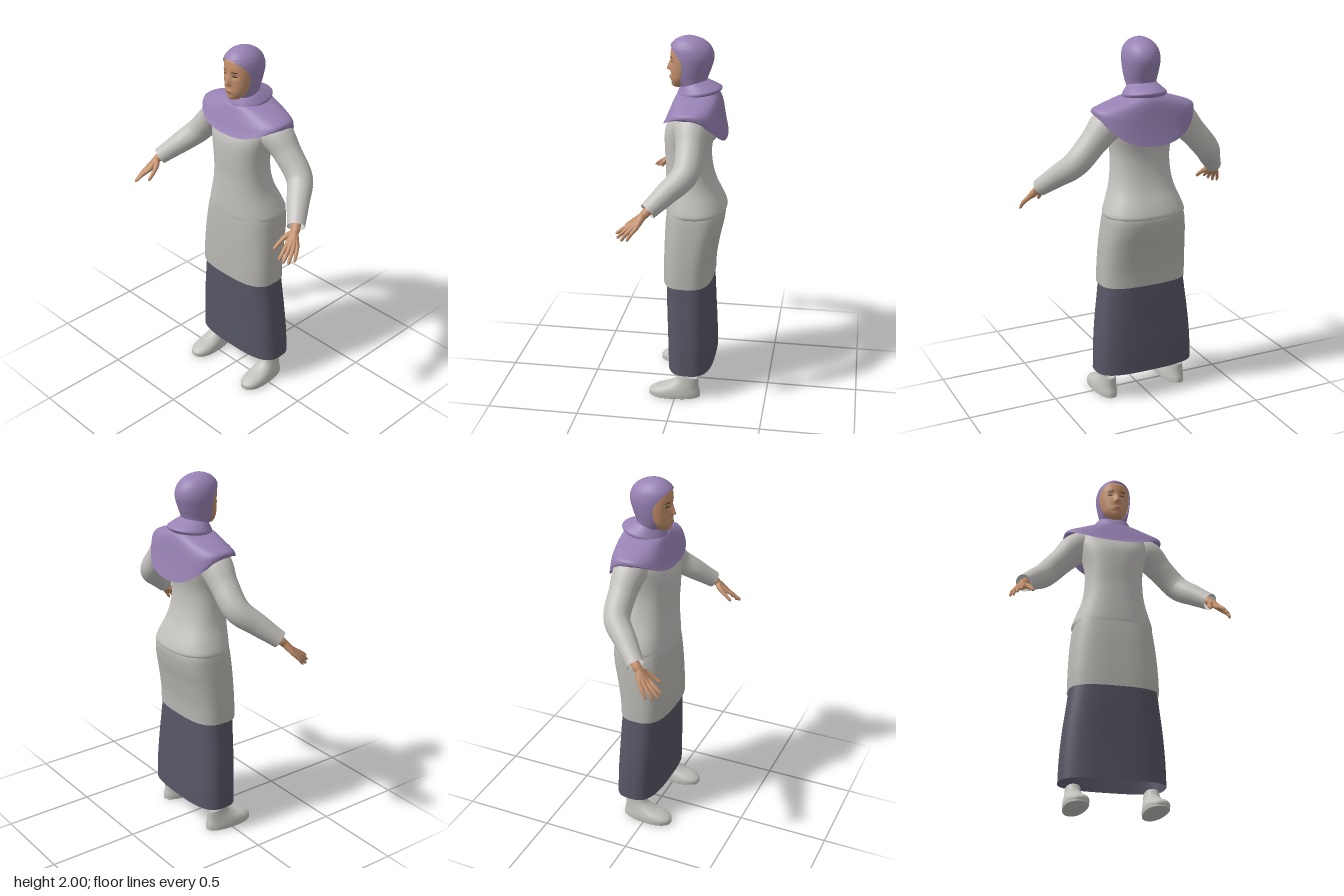
import * as THREE from 'three';

const mat = (name, color, side = THREE.DoubleSide) => {
  const m = new THREE.MeshStandardMaterial({ color, side });
  m.name = name;
  return m;
};

// Smooth value along a table of rows (Catmull-Rom on each column), t from 0 to 1
function sample(rows, t) {
  const n = rows.length - 1, i = Math.min(n - 1, Math.floor(t * n)), f = t * n - i;
  const at = k => rows[Math.max(0, Math.min(n, k))];
  const [a, b, c, d] = [at(i - 1), at(i), at(i + 1), at(i + 2)];
  return b.map((q, k) => q + 0.5 * f * (c[k] - a[k] +
    f * (2 * a[k] - 5 * q + 4 * c[k] - d[k] + f * (3 * (q - c[k]) + d[k] - a[k]))));
}

// Grid surface from fn(u, v) -> [x, y, z], optionally closed around u
function surface(fn, nu, nv, closed = true) {
  const pos = [], index = [], cols = closed ? nu : nu + 1;
  for (let j = 0; j <= nv; j++)
    for (let i = 0; i < cols; i++) pos.push(...fn(i / nu, j / nv));
  for (let j = 0; j < nv; j++)
    for (let i = 0; i < nu; i++) {
      const a = j * cols + i, b = j * cols + (i + 1) % cols;
      index.push(a, b, a + cols, b, b + cols, a + cols);
    }
  const g = new THREE.BufferGeometry();
  g.setAttribute('position', new THREE.Float32BufferAttribute(pos, 3));
  g.setIndex(index);
  g.computeVertexNormals();
  return g;
}

// Point on a super-ellipse ring; row = [y, halfWidth, zFront, zBack, tilt, sideLift]
function ringPoint([y, rx, zf, zb, tilt = 0, lift = 0], a, n) {
  const pw = q => Math.sign(q) * Math.abs(q) ** (2 / n);
  const s = Math.sin(a), c = Math.cos(a), zc = (zf + zb) / 2;
  return [rx * pw(s), y + tilt * c + lift * s * s, zc + (zf - zc) * pw(c)];
}

const loft = (rows, n = 2, nu = 64, nv = 36) =>
  surface((u, v) => ringPoint(sample(rows, v), u * Math.PI * 2, n), nu, nv);

// Tapered tube; points = [x, y, z, radius]
function limb(points, nu = 12, nv = 16) {
  const curve = new THREE.CatmullRomCurve3(points.map(p => new THREE.Vector3(...p)));
  const { normals, binormals } = curve.computeFrenetFrames(nv);
  return surface((u, v) => {
    const k = Math.round(v * nv), a = u * Math.PI * 2;
    const r = Math.max(0.0005, sample(points.map(p => [p[3]]), curve.getUtoTmapping(v))[0]);
    return curve.getPointAt(v).addScaledVector(normals[k], r * Math.cos(a))
      .addScaledVector(binormals[k], r * Math.sin(a)).toArray();
  }, nu, nv);
}

// Face profile and relief
const faceRows = [
  [1.724, 0.004, 0.022, 0.014], [1.73, 0.026, 0.042, -0.01], [1.745, 0.044, 0.051, -0.04],
  [1.77, 0.062, 0.056, -0.06], [1.8, 0.073, 0.057, -0.08], [1.84, 0.082, 0.057, -0.1],
  [1.88, 0.085, 0.058, -0.11], [1.92, 0.082, 0.056, -0.11], [1.95, 0.07, 0.045, -0.1],
  [1.98, 0.03, 0, -0.07], [1.985, 0.002, -0.03, -0.034],
];
const bell = (d, w) => Math.exp(-((d / w) ** 2));
function relief(x, y) {
  const nose = y < 1.822 ? bell(y - 1.822, 0.008) : Math.max(0, 1 - (y - 1.822) / 0.056);
  return 0.024 * nose * bell(x, 0.013)
    - 0.008 * bell(Math.abs(x) - 0.033, 0.018) * bell(y - 1.866, 0.014)
    + 0.007 * bell(x, 0.022) * bell(y - 1.778, 0.01)
    + 0.003 * bell(x, 0.02) * bell(y - 1.742, 0.012);
}
function faceZ(x, y) {
  let lo = 0, hi = 1;
  for (let i = 0; i < 20; i++) {
    const m = (lo + hi) / 2;
    if (sample(faceRows, m)[0] < y) lo = m; else hi = m;
  }
  const [, rx, zf, zb] = sample(faceRows, lo), zc = (zf + zb) / 2;
  return zc + (zf - zc) * Math.sqrt(Math.max(0, 1 - (x / rx) ** 2)) + relief(x, y);
}

// Thin oval that follows the face
function facePlate(cx, cy, w, h, tilt = 0) {
  const g = new THREE.CircleGeometry(1, 20).scale(w, h, 1).rotateZ(tilt).translate(cx, cy, 0);
  const p = g.attributes.position;
  for (let i = 0; i < p.count; i++) p.setZ(i, faceZ(p.getX(i), p.getY(i)) + 0.002);
  g.computeVertexNormals();
  return g;
}

export function createModel() {
  const model = new THREE.Group();
  const purple = mat('scarf purple', 0x9782b4), pale = mat('blouse grey', 0xc3c2be);
  const tunicGrey = mat('tunic grey', 0xb9b7b2), slate = mat('skirt slate', 0x575665);
  const skin = mat('skin', 0xc4906c), dark = mat('eye brown', 0x3a2822);
  const lip = mat('lip', 0xa9705a), shoeGrey = mat('shoe grey', 0xc1c0bb);
  const add = (name, geometry, material) => {
    const m = new THREE.Mesh(geometry, material);
    m.name = name;
    model.add(m);
    return m;
  };

  // Garments, listed from hem to top
  add('skirt', loft([
    [0.16, 0.287, 0.055, -0.197], [0.3, 0.282, 0.058, -0.194], [0.45, 0.269, 0.063, -0.187],
    [0.58, 0.252, 0.068, -0.182], [0.7, 0.238, 0.07, -0.175],
  ], 3), slate);
  add('tunic', loft([
    [0.665, 0.249, 0.085, -0.185], [0.76, 0.247, 0.085, -0.19], [0.88, 0.24, 0.082, -0.21],
    [0.98, 0.23, 0.078, -0.232], [1.06, 0.217, 0.071, -0.235], [1.12, 0.19, 0.06, -0.2],
  ], 2.9), tunicGrey);
  add('blouse', loft([
    [1.056, 0.221, 0.077, -0.246, -0.006], [1.075, 0.226, 0.079, -0.248, -0.004],
    [1.13, 0.207, 0.08, -0.228, 0], [1.21, 0.178, 0.08, -0.19, 0], [1.3, 0.164, 0.08, -0.166, 0],
    [1.4, 0.164, 0.086, -0.162, 0], [1.5, 0.184, 0.084, -0.185, 0],
    [1.57, 0.2, 0.058, -0.188, 0], [1.64, 0.17, 0.03, -0.165, 0], [1.68, 0.08, 0, -0.13, 0],
  ], 2.35), pale);
  add('scarfCape', loft([
    [1.5025, 0.272, 0.087, -0.245, 0.0425, 0.1075], [1.55, 0.283, 0.074, -0.231, 0.02, 0.075],
    [1.605, 0.275, 0.058, -0.22, 0.005, 0.042], [1.65, 0.222, 0.042, -0.213, 0, 0.018],
    [1.685, 0.15, 0.026, -0.205, 0, 0.005], [1.705, 0.1, 0.01, -0.19, -0.005, 0],
  ], 2.5), purple);
  add('scarfCollar', loft([
    [1.69, 0.1, 0.012, -0.185, -0.01], [1.7, 0.114, 0.022, -0.208, -0.015],
    [1.713, 0.117, 0.022, -0.215, -0.018], [1.728, 0.107, 0.016, -0.19, -0.018],
    [1.745, 0.092, 0.008, -0.152, -0.018], [1.757, 0.08, 0.002, -0.128, -0.018],
  ]), purple);

  // Hood with an oval opening for the face
  const hoodRows = [
    [1.66, 0.085, 0.005, -0.14], [1.7, 0.077, 0, -0.128], [1.735, 0.077, 0.006, -0.127],
    [1.78, 0.085, 0.035, -0.138], [1.83, 0.094, 0.053, -0.157], [1.89, 0.099, 0.064, -0.172],
    [1.94, 0.089, 0.063, -0.158], [1.975, 0.063, 0.035, -0.122], [1.994, 0.03, -0.005, -0.075],
    [2.0, 0.001, -0.039, -0.041],
  ];
  add('hood', surface((u, v) => {
    const row = sample(hoodRows, v);
    const gap = 1.2 * Math.sqrt(Math.max(0, 1 - ((row[0] - 1.84) / 0.112) ** 2));
    return ringPoint(row, gap + u * (Math.PI * 2 - 2 * gap), 2);
  }, 64, 90, false), purple);

  // Face
  add('face', surface((u, v) => {
    const a = u * Math.PI * 2, p = ringPoint(sample(faceRows, v), a, 2);
    if (Math.cos(a) > 0) p[2] += relief(p[0], p[1]);
    return p;
  }, 112, 80), skin);
  add('mouth', facePlate(0, 1.778, 0.021, 0.006), lip);

  for (const s of [1, -1]) {
    const side = s > 0 ? 'left' : 'right';
    const flip = pts => pts.map(([x, ...rest]) => [x * s, ...rest]);
    add(side + 'Eye', facePlate(s * 0.034, 1.864, 0.014, 0.0035), dark);
    add(side + 'Brow', facePlate(s * 0.036, 1.888, 0.018, 0.0025, -s * 0.08), dark);

    // Sleeve from shoulder to open cuff
    add(side + 'Sleeve', limb(flip([
      [0.12, 1.585, -0.08, 0.065], [0.2, 1.565, -0.083, 0.088], [0.29, 1.475, -0.088, 0.074],
      [0.385, 1.37, -0.078, 0.069], [0.455, 1.292, 0.004, 0.059], [0.525, 1.215, 0.09, 0.047],
    ]), 28, 40), pale);

    // Hand: each digit runs from the wrist through its knuckle to the tip
    const hand = new THREE.Group();
    hand.name = side + 'Hand';
    const digits = {
      thumb: [[0.508, 1.175, 0.135, 0.015], [0.494, 1.145, 0.175, 0.011], [0.489, 1.118, 0.21, 0.008]],
      indexFinger: [[0.537, 1.152, 0.162, 0.014], [0.55, 1.125, 0.21, 0.01], [0.556, 1.1, 0.244, 0.007]],
      middleFinger: [[0.554, 1.147, 0.162, 0.014], [0.57, 1.113, 0.207, 0.01], [0.577, 1.085, 0.236, 0.007]],
      ringFinger: [[0.569, 1.143, 0.153, 0.014], [0.586, 1.108, 0.19, 0.01], [0.593, 1.076, 0.213, 0.007]],
      littleFinger: [[0.58, 1.143, 0.138, 0.012], [0.599, 1.11, 0.165, 0.009], [0.606, 1.082, 0.182, 0.006]],
    };
    for (const [name, pts] of Object.entries(digits)) {
      const tip = pts[2].map((q, k) => k === 3 ? 0 : q + (q - pts[1][k]) * 0.12);
      const m = new THREE.Mesh(limb(flip([
        [0.515, 1.228, 0.076, 0.024], [0.535, 1.195, 0.11, 0.021], ...pts, tip,
      ]), 10, 24), skin);
      m.name = name;
      hand.add(m);
    }
    model.add(hand);

    // Ankle shoe, wider at the toe, with a recessed top
    const shoe = loft([
      [0, 0.001, 0.001, -0.001, 0], [0, 0.055, 0.135, -0.125, 0], [0.012, 0.062, 0.148, -0.136, 0],
      [0.032, 0.062, 0.147, -0.136, 0], [0.052, 0.058, 0.115, -0.131, 0],
      [0.075, 0.051, 0.05, -0.128, 0], [0.1, 0.045, 0.002, -0.127, 0.005],
      [0.13, 0.041, -0.02, -0.125, 0.013], [0.12, 0.034, -0.028, -0.115, 0.01],
      [0.105, 0.001, -0.07, -0.072, 0],
    ], 2.3, 40, 45);
    const p = shoe.attributes.position;
    for (let i = 0; i < p.count; i++)
      p.setX(i, p.getX(i) * (1 + 0.9 * Math.min(0.1, p.getZ(i))) + s * 0.21);
    shoe.computeVertexNormals();
    add(side + 'Shoe', shoe, shoeGrey);
  }
  return model;
}
